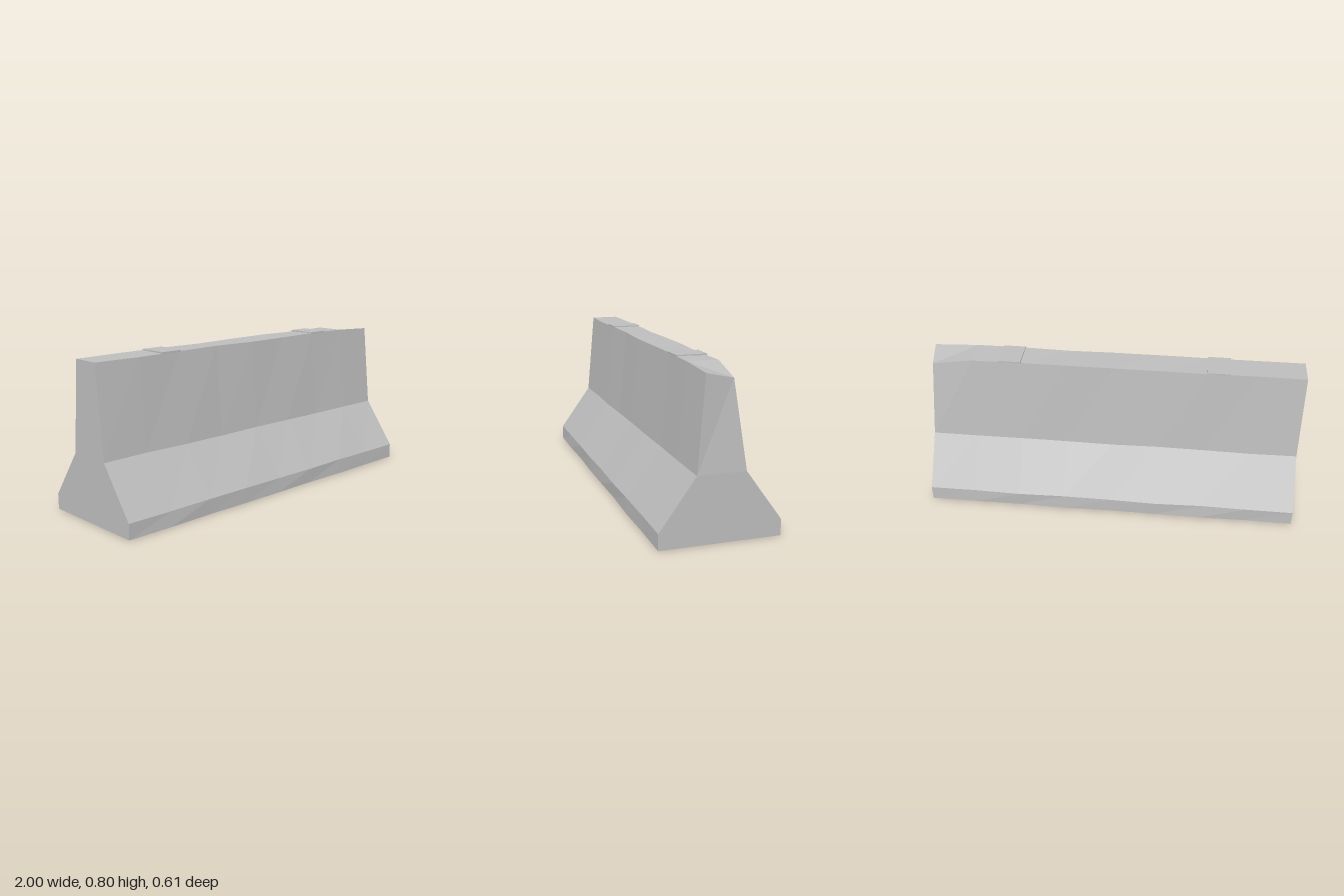
import * as THREE from 'three';

const concrete = new THREE.MeshStandardMaterial({ color: 0xbdbdbd, flatShading: true });
concrete.name = 'concrete';

// Cross-section as [z, y], from front bottom over the top to back bottom
const PROFILE = [
  [0.3, 0], [0.3, 0.08], [0.12, 0.33], [0.077, 0.798],
  [-0.075, 0.798], [-0.12, 0.33], [-0.3, 0.08], [-0.3, 0],
];
const SEGMENTS = 8;

// Slightly uneven cast surface; the ends stay regular
function point(s, i) {
  const x = -1 + (2 * s) / SEGMENTS;
  let [z, y] = PROFILE[i];
  if (s > 0 && s < SEGMENTS) {
    z += 0.003 * Math.sin(s * 2.3 + i * 1.7);
    if (y > 0) y += 0.002 * Math.sin(s * 1.9 + i * 2.9);
  }
  // Worn top corner at the left end
  if (s === SEGMENTS && i === 3) return [0.99, 0.787, 0.08];
  if (s === SEGMENTS && i === 4) return [0.97, 0.755, -0.06];
  return [x, y, z];
}

function barrierGeometry() {
  const pos = [];
  const quad = (a, b, c, d) => pos.push(...a, ...b, ...c, ...a, ...c, ...d);
  const n = PROFILE.length;
  // Long faces
  for (let s = 0; s < SEGMENTS; s++) {
    for (let i = 0; i < n; i++) {
      const j = (i + 1) % n;
      quad(point(s, i), point(s + 1, i), point(s + 1, j), point(s, j));
    }
  }
  // End caps, as bands between opposite profile points
  for (let i = 0; i < 3; i++) {
    const k = n - 1 - i;
    const e = SEGMENTS;
    quad(point(e, i), point(e, k), point(e, k - 1), point(e, i + 1));
    quad(point(0, k), point(0, i), point(0, i + 1), point(0, k - 1));
  }
  const geo = new THREE.BufferGeometry();
  geo.setAttribute('position', new THREE.Float32BufferAttribute(pos, 3));
  geo.computeVertexNormals();
  return geo;
}

export function createModel() {
  const group = new THREE.Group();
  group.name = 'roadBarrier';

  const body = new THREE.Mesh(barrierGeometry(), concrete);
  body.name = 'barrierBody';
  group.add(body);

  // Thin pads across the top
  for (const side of [-1, 1]) {
    const pad = new THREE.Mesh(new THREE.BoxGeometry(0.12, 0.009, 0.157), concrete);
    pad.name = side > 0 ? 'leftTopPad' : 'rightTopPad';
    pad.position.set(side * 0.55, 0.8, 0.001);
    group.add(pad);
  }
  return group;
}
